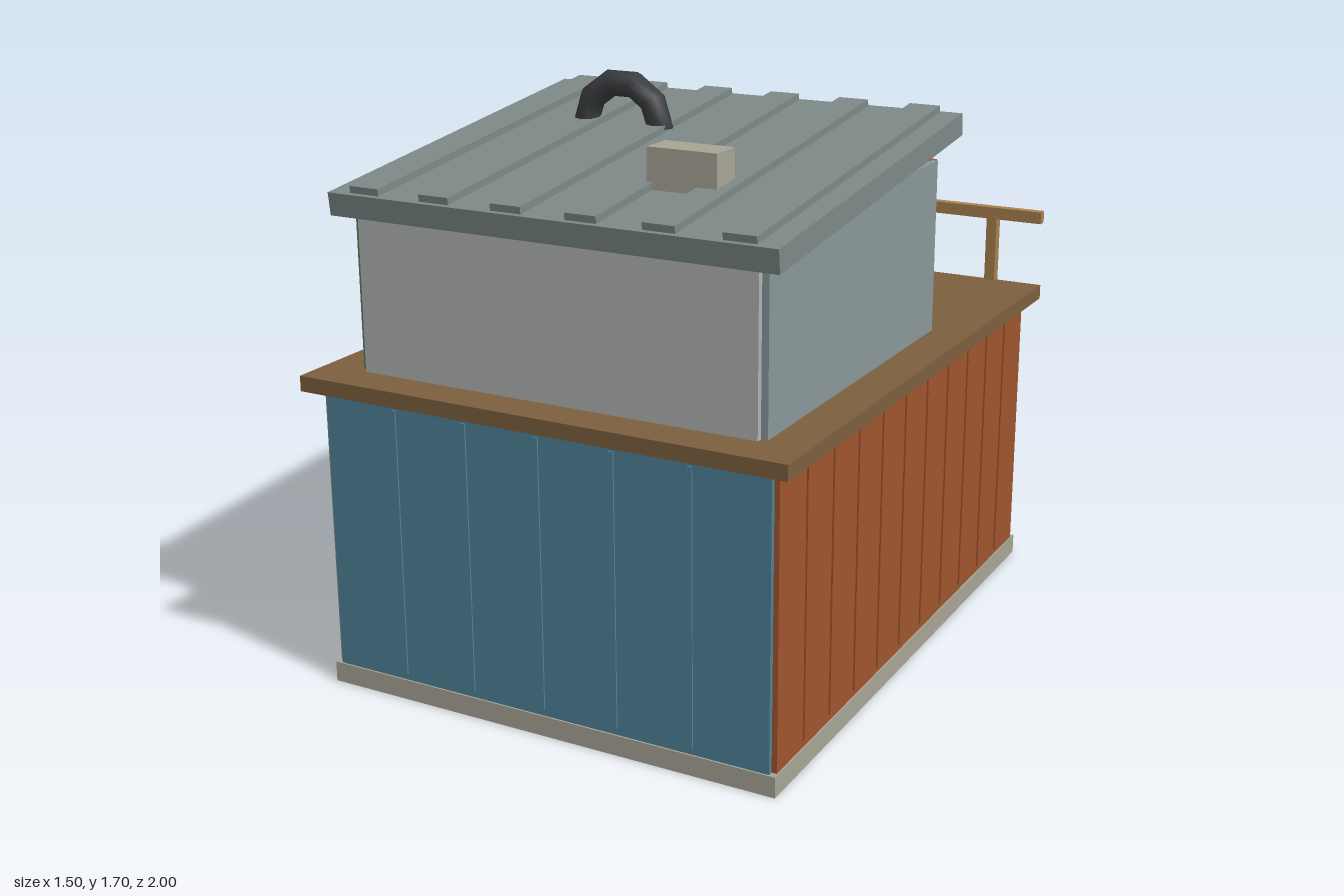
import * as THREE from 'three';

const C = {
  stone: 0xa8a596, blue: 0x4f8196, rust: 0xa0552f, steel: 0x7f8b91, grey: 0x8f9191,
  deck: 0x7d5f3f, roof: 0x7d8988, wood: 0xa9814f, door: 0xb5702a, frame: 0x7a5a38,
  dark: 0x3a3d40, pale: 0xb0b4b2, slate: 0x8b979b, green: 0x587a5e, board: 0x6b5030,
};
const mats = {};
const mat = (c) => (mats[c] ??= new THREE.MeshStandardMaterial({ color: C[c] }));

// Box given by its limits on each axis
function box(parent, name, color, [x0, x1], [y0, y1], [z0, z1]) {
  const m = new THREE.Mesh(new THREE.BoxGeometry(x1 - x0, y1 - y0, z1 - z0), mat(color));
  m.position.set((x0 + x1) / 2, (y0 + y1) / 2, (z0 + z1) / 2);
  m.name = name;
  parent.add(m);
  return m;
}

function group(parent, name) {
  const g = new THREE.Group();
  g.name = name;
  parent.add(g);
  return g;
}

// Wall sheet facing +z in its own frame, with thin seam strips over the joints
function wall(parent, name, color, width, y0, y1, seams, x, z, turn) {
  const g = group(parent, name);
  box(g, 'sheet', color, [-width / 2, width / 2], [y0, y1], [-0.02, 0]);
  for (let i = 1; i < seams; i++) {
    const s = -width / 2 + (width * i) / seams;
    box(g, 'seamStrip', color, [s - 0.007, s + 0.007], [y0 + 0.02, y1 - 0.02], [-0.01, 0.005]);
  }
  g.position.set(x, 0, z);
  g.rotation.y = turn;
}

export function createModel() {
  const root = new THREE.Group();
  root.name = 'shack';
  const H = Math.PI / 2;

  // Ground floor
  box(root, 'foundation', 'stone', [-0.71, 0.71], [0, 0.06], [-0.865, 0.97]);
  wall(root, 'lowerFrontWall', 'blue', 1.38, 0.06, 0.89, 6, 0, 0.965, 0);
  wall(root, 'lowerBackWall', 'steel', 1.38, 0.06, 0.89, 6, 0, -0.86, Math.PI);
  wall(root, 'lowerLeftWall', 'rust', 1.795, 0.06, 0.89, 11, 0.705, 0.0525, H);
  wall(root, 'lowerRightWall', 'grey', 1.795, 0.06, 0.89, 11, -0.705, 0.0525, -H);
  box(root, 'deck', 'deck', [-0.75, 0.75], [0.89, 0.935], [-0.89, 1]);

  // Door on the back
  const door = group(root, 'door');
  box(door, 'doorPanel', 'door', [0.07, 0.49], [0.06, 0.785], [-0.882, -0.86]);
  for (const x of [0.04, 0.48])
    box(door, 'jamb', 'frame', [x, x + 0.04], [0.06, 0.785], [-0.897, -0.86]);
  box(door, 'lintel', 'frame', [0.03, 0.53], [0.785, 0.83], [-0.9, -0.86]);
  box(door, 'doorHandle', 'dark', [0.34, 0.4], [0.39, 0.425], [-0.91, -0.88]);

  // Upper room
  wall(root, 'upperFrontWall', 'pale', 1.22, 0.935, 1.44, 1, 0, 0.885, 0);
  wall(root, 'upperBackWall', 'rust', 1.24, 0.935, 1.45, 6, 0, -0.26, Math.PI);
  wall(root, 'upperLeftWall', 'slate', 1.107, 0.935, 1.45, 1, 0.63, 0.3135, H);
  wall(root, 'upperRightWall', 'green', 1.107, 0.935, 1.45, 1, -0.63, 0.3135, -H);
  box(root, 'leaningBoard', 'board', [-0.44, -0.06], [0.935, 1.515], [-0.28, -0.258]);

  // Sloping roof with raised ribs
  const roof = group(root, 'roof');
  box(roof, 'roofSheet', 'roof', [-0.68, 0.68], [-0.033, 0.033], [-0.61, 0.61]);
  for (let i = 0; i < 6; i++) {
    const x = -0.568 + i * 0.2272;
    box(roof, 'roofRib', 'roof', [x - 0.047, x + 0.047], [0.03, 0.053], [-0.6, 0.595]);
  }
  roof.position.set(0, 1.4825, 0.31);
  roof.rotation.x = 0.115;

  // Bent pipe and brick on the roof
  const pipe = new THREE.Mesh(new THREE.TorusGeometry(0.125, 0.04, 8, 5, Math.PI), mat('dark'));
  pipe.name = 'bentPipe';
  pipe.position.set(-0.22, 1.543, 0.12);
  root.add(pipe);
  box(root, 'brick', 'stone', [0.145, 0.355], [1.47, 1.595], [0.52, 0.62]);

  // Railing along the back of the deck
  const railing = group(root, 'railing');
  box(railing, 'handrail', 'wood', [-0.745, 0.745], [1.14, 1.178], [-0.905, -0.875]);
  for (const x of [-0.58, 0, 0.58])
    box(railing, 'railingPost', 'wood', [x - 0.017, x + 0.017], [0.92, 1.15], [-0.907, -0.873]);

  // Ladder
  const ladder = group(root, 'ladder');
  for (const x of [-0.565, -0.312])
    box(ladder, 'ladderRail', 'wood', [x - 0.016, x + 0.016], [0.06, 1.22], [-1, -0.968]);
  for (let i = 0; i < 6; i++) {
    const y = 0.22 + i * 0.168;
    box(ladder, 'rung', 'wood', [-0.56, -0.317], [y - 0.013, y + 0.013], [-0.995, -0.973]);
  }
  return root;
}
